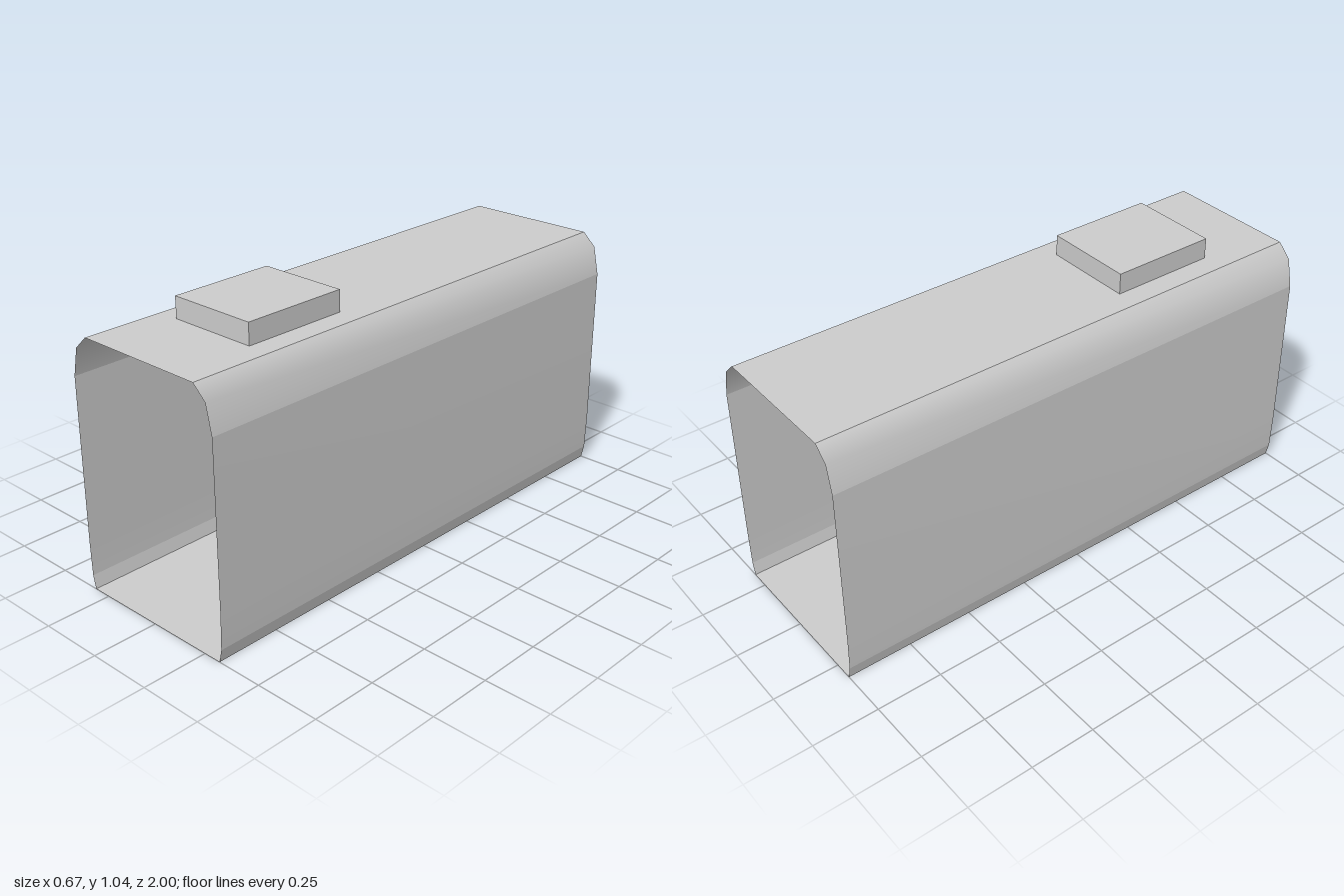
import * as THREE from 'three';

const HALF_LENGTH = 1;

// Strip of surface running along z; points go clockwise as seen from the front,
// and normals are smooth within one strip.
function strip(points) {
  const positions = [];
  const index = [];
  points.forEach(([x, y], i) => {
    positions.push(x, y, HALF_LENGTH, x, y, -HALF_LENGTH);
    if (i > 0) {
      const a = 2 * (i - 1);
      index.push(a, a + 2, a + 3, a, a + 3, a + 1);
    }
  });
  const geometry = new THREE.BufferGeometry();
  geometry.setAttribute('position', new THREE.Float32BufferAttribute(positions, 3));
  geometry.setIndex(index);
  geometry.computeVertexNormals();
  return geometry;
}

export function createModel() {
  const model = new THREE.Group();
  model.name = 'openSleeve';
  const grey = new THREE.MeshStandardMaterial({ color: 0xcccccc, side: THREE.DoubleSide });
  grey.name = 'plainGrey';

  const add = (name, geometry) => {
    const mesh = new THREE.Mesh(geometry, grey);
    mesh.name = name;
    model.add(mesh);
    return mesh;
  };

  // Flat roof and floor
  add('roof', strip([[-0.26, 0.955], [0.26, 0.955]]));
  add('floor', strip([[0.32, 0], [-0.32, 0]]));

  // Rounded shoulders, side walls and slanted lower edges, mirrored
  const sideParts = {
    Shoulder: [[0.26, 0.955], [0.312, 0.906], [0.335, 0.8]],
    Wall: [[0.335, 0.8], [0.335, 0.18], [0.331, 0.05]],
    LowerEdge: [[0.331, 0.05], [0.32, 0]],
  };
  for (const [part, points] of Object.entries(sideParts)) {
    add('left' + part, strip(points));
    add('right' + part, strip(points.map(([x, y]) => [-x, y]).reverse()));
  }

  // Raised block on the roof near the front
  add('roofBlock', new THREE.BoxGeometry(0.35, 0.08, 0.41)).position.set(0, 0.996, 0.49);

  return model;
}
